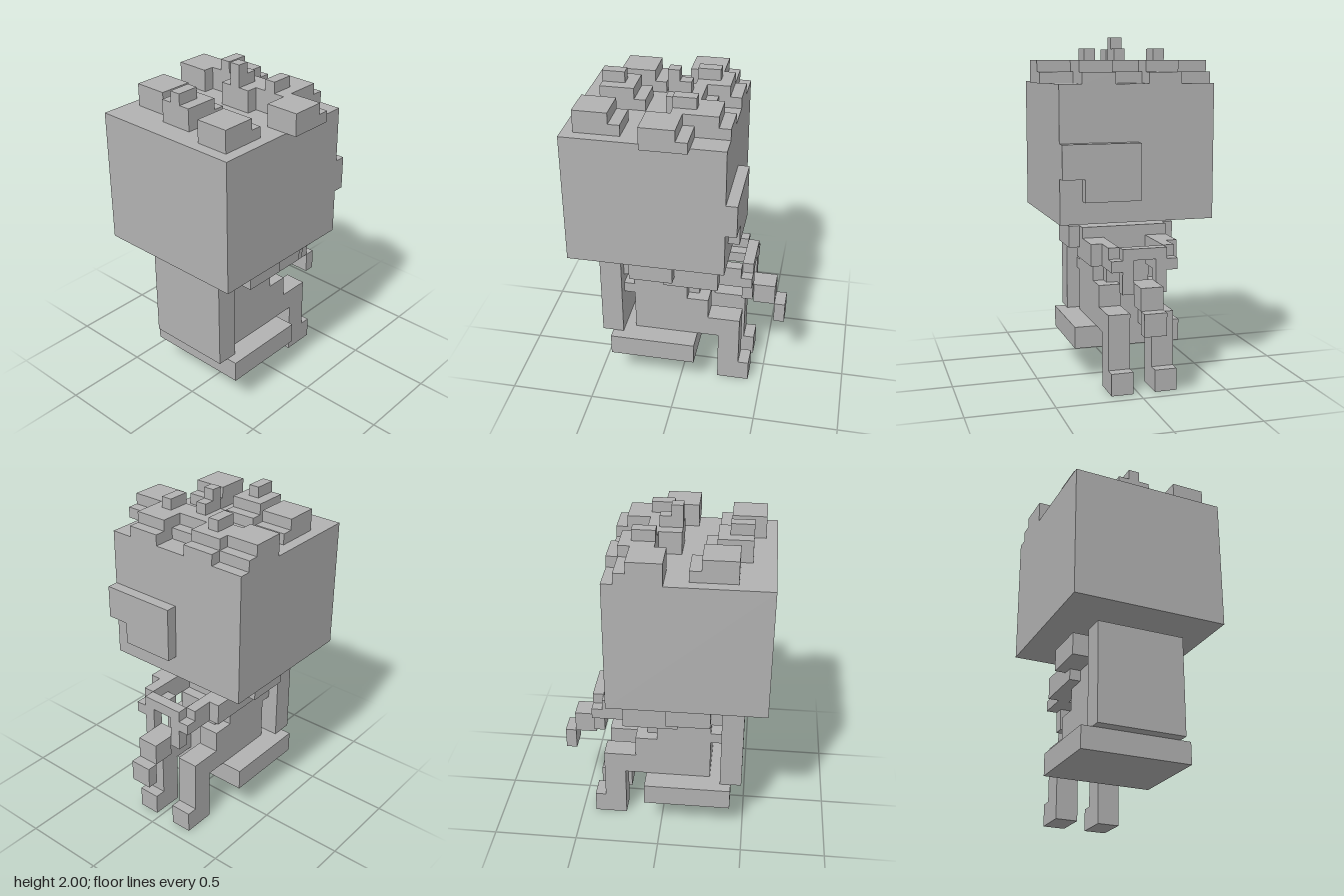
import * as THREE from 'three';

const U = 2 / 31; // edge of one block
const grey = new THREE.MeshStandardMaterial({ color: 0xb2b2b2 });
grey.name = 'grey';

// Box between block coordinates: x 0..15, y 0..31, z 0..19
function block(parent, name, x0, x1, y0, y1, z0, z1) {
  const mesh = new THREE.Mesh(
    new THREE.BoxGeometry((x1 - x0) * U, (y1 - y0) * U, (z1 - z0) * U), grey);
  mesh.position.set(((x0 + x1) / 2 - 7.5) * U, (y0 + y1) / 2 * U, ((z0 + z1) / 2 - 9.5) * U);
  mesh.name = name;
  parent.add(mesh);
}

// The same box on both sides of the body, whose middle is x = 7
function pair(parent, name, x0, x1, ...rest) {
  block(parent, name + 'Left', x0, x1, ...rest);
  block(parent, name + 'Right', 14 - x1, 14 - x0, ...rest);
}

function part(root, name) {
  const group = new THREE.Group();
  group.name = name;
  root.add(group);
  return group;
}

export function createModel() {
  const root = new THREE.Group();
  root.name = 'seatedFigure';

  // Chair
  const chair = part(root, 'chair');
  block(chair, 'seat', 2, 12, 3, 5, 8, 16);
  block(chair, 'chairBack', 3, 11, 5, 14, 15, 17);

  // Torso, touching the chair back in two places
  const body = part(root, 'body');
  block(body, 'torso', 4, 10, 5, 14, 9, 14);
  block(body, 'upperBack', 4, 10, 11, 14, 14, 15);
  block(body, 'lowerBack', 4, 10, 9, 10, 14, 15);
  block(body, 'belly', 5, 9, 9, 11, 8, 9);
  block(body, 'lap', 4, 10, 5, 9, 8, 9);
  block(body, 'neck', 6, 8, 14, 15, 11, 13);

  // Legs
  const legs = part(root, 'legs');
  pair(legs, 'hip', 8, 10, 7, 9, 7, 8);
  pair(legs, 'thigh', 8, 10, 5, 7, 4, 8);
  pair(legs, 'shin', 8, 10, 2, 5, 4, 6);
  pair(legs, 'foot', 8, 10, 0, 2, 3, 6);

  // Arms reaching forward
  const arms = part(root, 'arms');
  pair(arms, 'upperArm', 10, 12, 12, 14, 10, 14);
  pair(arms, 'elbow', 10, 11, 13, 14, 9, 10);
  pair(arms, 'forearm', 9, 11, 11, 13, 6, 11);
  pair(arms, 'hand', 9, 10, 11, 13, 4, 6);
  pair(arms, 'palm', 8, 9, 11, 12, 4, 6);
  pair(arms, 'finger', 9, 10, 11, 12, 3, 4);

  // Held object: an arch with a stepped tip
  const held = part(root, 'heldObject');
  block(held, 'archTop', 5, 9, 12, 13, 3, 4);
  pair(held, 'archSide', 8, 9, 9, 12, 3, 4);
  block(held, 'archBottom', 6, 8, 9, 10, 3, 4);
  block(held, 'tipUpper', 6, 8, 8, 10, 1, 3);
  block(held, 'tipLower', 6, 8, 6, 8, 0, 1);

  // Head with a raised patch over one side of the face
  const head = part(root, 'head');
  block(head, 'skull', 0, 14, 15, 27, 5, 19);
  block(head, 'patchUpper', 7, 14, 19, 22, 4, 5);
  block(head, 'patchLower', 7, 12, 17, 19, 4, 5);

  // Hair tufts: x0, x1, start of low step, start of full height, end
  const hair = part(root, 'hair');
  const tufts = [
    [1, 4, 12, 13, 16], [5, 8, 13, 14, 17], [10, 13, 14, 15, 18],
    [0, 3, 6, 7, 10], [3, 6, 5, 6, 9], [6, 9, 7, 8, 11],
    [9, 12, 5, 6, 10], [12, 15, 8, 9, 12],
  ];
  for (const [x0, x1, low, full, end] of tufts) {
    block(hair, 'tuftStep', x0, x1, 27, 28, low, full);
    block(hair, 'tuft', x0, x1, 27, 29, full, end);
  }
  // Small curls on the tufts
  block(hair, 'curl', 6, 7, 29, 30, 15, 17);
  block(hair, 'curl', 4, 5, 29, 30, 7, 9);
  block(hair, 'curl', 10, 11, 29, 30, 8, 10);
  block(hair, 'crownCurl', 7, 8, 29, 30, 9, 10);
  block(hair, 'crownCurlTip', 7, 8, 29, 31, 10, 11);

  return root;
}
